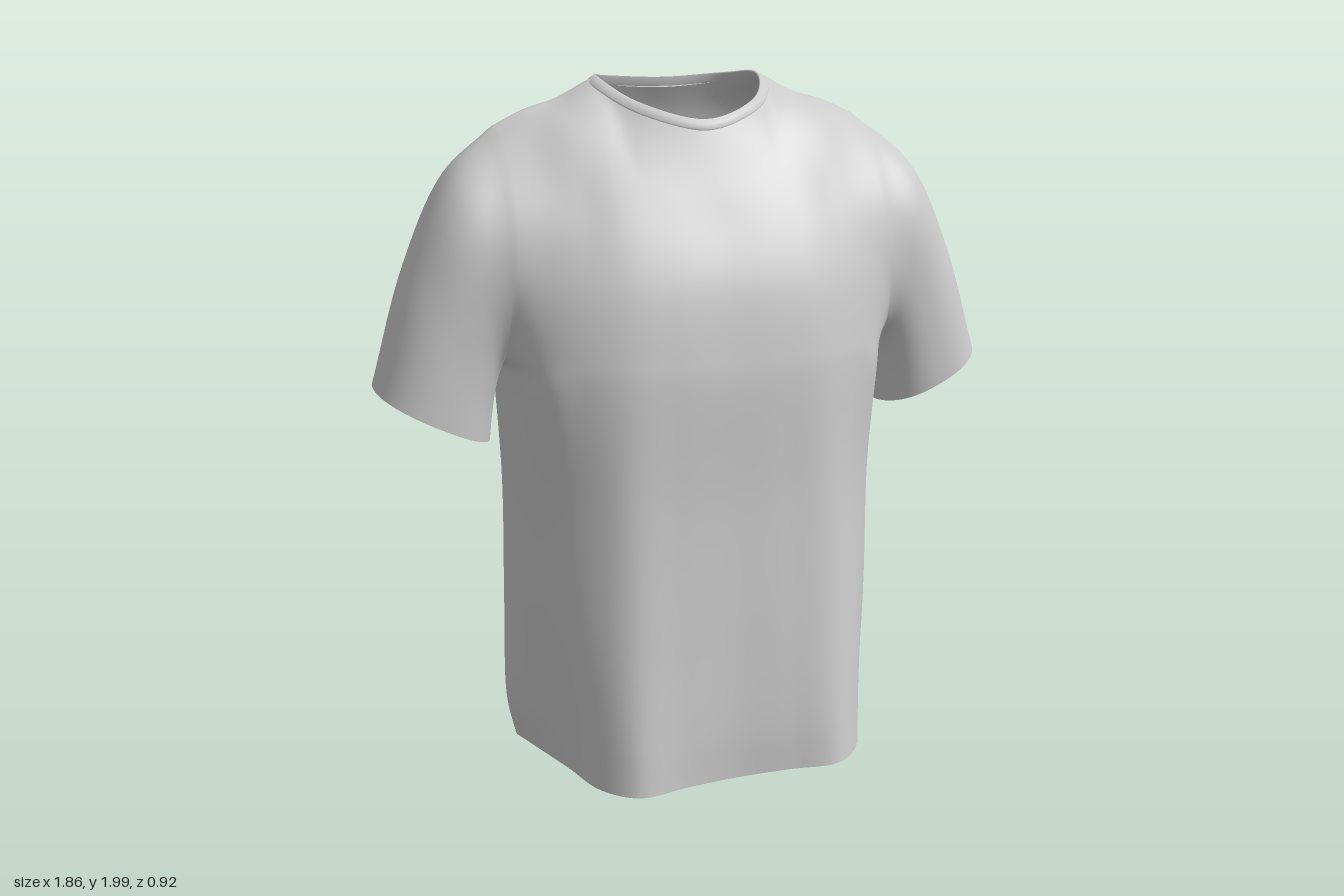
import * as THREE from 'three';
import { mergeVertices } from 'three/addons/utils/BufferGeometryUtils.js';

const V = (x, y, z) => new THREE.Vector3(x, y, z);
const STEP = 8, HALF = 5 * STEP, ARMPIT = 4 * STEP, NECK = 2 * STEP;

// Each row: heights, half widths and depths from the centre line out to the side seam.
const FRONT = [
  [[0, .005, .01, .01, .015, .015], [0, .16, .31, .405, .465, .565], [.42, .435, .455, .375, .23, -.02]],
  [.15, [0, .16, .31, .405, .48, .59], [.42, .43, .44, .36, .21, -.02]],
  [.45, [0, .16, .31, .41, .5, .585], [.4, .405, .4, .325, .185, -.03]],
  [.85, [0, .16, .3, .405, .5, .575], [.37, .37, .36, .29, .18, -.04]],
  [1.18, [0, .15, .29, .41, .505, .585], [.358, .357, .343, .287, .213, -.05]],
  [1.25, [0, .15, .29, .41, .5, .58], [.35, .35, .335, .283, .217, .1]],
  [1.46, [0, .15, .28, .4, .49, .56], [.308, .308, .293, .25, .205, .17]],
  [1.65, [0, .14, .27, .37, .46, .55], [.225, .225, .21, .178, .152, .13]],
  [[1.78, 1.8, 1.89, 1.88, 1.85, 1.815], [0, .18, .28, .37, .46, .55], [.165, .135, .04, .02, 0, -.005]],
  [[1.885, 1.93, 1.99, 1.932, 1.903, 1.862], [0, .17, .24, .36, .46, .55], [.12, .045, -.13, -.14, -.13, -.12]],
];
const BACK = [
  [[.015, .015, .015, .01, .015, .015], [0, .16, .31, .39, .455, .565], [-.45, -.45, -.455, -.365, -.23, -.02]],
  [.15, [0, .16, .31, .395, .475, .59], [-.445, -.445, -.45, -.365, -.23, -.02]],
  [.45, [0, .16, .31, .41, .5, .585], [-.435, -.44, -.445, -.36, -.23, -.03]],
  [.85, [0, .16, .3, .41, .505, .575], [-.415, -.42, -.43, -.365, -.24, -.04]],
  [1.18, [0, .15, .29, .41, .505, .585], [-.4, -.405, -.415, -.38, -.3, -.05]],
  [1.25, [0, .15, .29, .41, .5, .58], [-.397, -.402, -.412, -.383, -.325, -.2]],
  [1.46, [0, .15, .28, .4, .49, .56], [-.385, -.39, -.4, -.385, -.36, -.325]],
  [1.65, [0, .14, .27, .37, .46, .55], [-.36, -.365, -.37, -.36, -.35, -.325]],
  [[1.85, 1.86, 1.89, 1.87, 1.85, 1.82], [0, .19, .28, .37, .46, .55], [-.315, -.31, -.285, -.27, -.25, -.235]],
  [[1.97, 1.98, 1.99, 1.932, 1.903, 1.862], [0, .185, .24, .36, .46, .55], [-.255, -.24, -.13, -.14, -.13, -.12]],
];

const mirror = p => V(-p.x, p.y, p.z);
const halfRow = ([y, xs, zs]) => xs.map((x, k) => V(x, Array.isArray(y) ? y[k] : y, zs[k]));

// Smooth panel through the rows: points[j][i], i from -x to +x, j upward, ending in the neckline
function panel(rows, neckAt) {
  const curves = rows.map(row => {
    const half = halfRow(row);
    return new THREE.CatmullRomCurve3([...half.slice(1).reverse().map(mirror), ...half]);
  });
  const last = rows.length - 1, count = last * STEP;
  const points = Array.from({ length: count + 1 }, () => []);
  for (let i = 0; i <= 2 * HALF; i++) {
    const controls = curves.map(c => c.getPoint(i / (2 * HALF)));
    if (Math.abs(i - HALF) <= NECK) controls[last] = neckAt((i - HALF) / STEP);
    const column = new THREE.CatmullRomCurve3(controls);
    for (let j = 0; j <= count; j++) points[j].push(column.getPoint(j / count));
  }
  return points;
}

// Adds quads over a grid of points to a shared surface
function addGrid(surface, rows, flip = false, closed = false) {
  const base = surface.positions.length / 3, n = rows[0].length;
  rows.flat().forEach(p => surface.positions.push(p.x, p.y, p.z));
  for (let j = 0; j < rows.length - 1; j++) {
    for (let i = 0; i < (closed ? n : n - 1); i++) {
      const k = (i + 1) % n;
      const a = base + j * n + i, b = base + j * n + k, c = b + n, d = a + n;
      surface.indices.push(...(flip ? [a, c, b, a, d, c] : [a, b, c, a, c, d]));
    }
  }
}

function toMesh(surface, name) {
  let geometry = new THREE.BufferGeometry();
  geometry.setAttribute('position', new THREE.Float32BufferAttribute(surface.positions, 3));
  geometry.setIndex(surface.indices);
  geometry = mergeVertices(geometry, 1e-4);
  geometry.computeVertexNormals();
  const material = new THREE.MeshStandardMaterial({ color: 0xcccccc, side: THREE.DoubleSide });
  const mesh = new THREE.Mesh(geometry, material);
  mesh.name = name;
  return mesh;
}

// Slightly squared oval sleeve section given its underarm point, top point and z range
function sleeveRing(side, count, [bx, by], [tx, ty], zMid, zHalf) {
  const squared = v => Math.sign(v) * Math.pow(Math.abs(v), .87);
  return Array.from({ length: count }, (_, k) => {
    const a = 2 * Math.PI * k / count, f = (1 - squared(Math.cos(a))) / 2;
    return V(side * (bx + (tx - bx) * f), by + (ty - by) * f, zMid + zHalf * squared(Math.sin(a)));
  });
}

export function createModel() {
  const group = new THREE.Group();

  // Closed neckline, running from the front centre round the left side
  const [f0, f1, f2] = halfRow(FRONT.at(-1)), [b0, b1] = halfRow(BACK.at(-1));
  const neckline = new THREE.CatmullRomCurve3([f0, f1, f2, b1, b0, mirror(b1), mirror(f2), mirror(f1)], true);
  const neckPoint = u => neckline.getPoint((u + 8) % 8 / 8);

  const front = panel(FRONT, neckPoint), back = panel(BACK, u => neckPoint(4 - u));
  const top = front.length - 1;

  // Sew the side seams and shoulder seams
  const sew = (j, i) => {
    const p = front[j][i].clone().lerp(back[j][i], .5);
    front[j][i].copy(p);
    back[j][i].copy(p);
  };
  for (let j = 0; j <= ARMPIT; j++) [0, 2 * HALF].forEach(i => sew(j, i));
  for (let i = 0; i <= 2 * HALF; i++) if (Math.abs(i - HALF) >= NECK) sew(top, i);

  const shirt = { positions: [], indices: [] };
  addGrid(shirt, front);
  addGrid(shirt, back, true);

  // Sleeves grow from the armhole edges of the two panels
  for (const side of [-1, 1]) {
    const edge = side > 0 ? 2 * HALF : 0, hole = [];
    for (let j = ARMPIT; j <= top; j++) hole.push(front[j][edge]);
    for (let j = top - 1; j > ARMPIT; j--) hole.push(back[j][edge]);
    const n = hole.length;
    const rings = [
      hole,
      sleeveRing(side, n, [.59, 1.125], [.69, 1.74], -.087, .235),
      sleeveRing(side, n, [.6, 1.06], [.82, 1.49], -.07, .21),
      sleeveRing(side, n, [.61, .985], [.93, 1.15], -.055, .195),
    ];
    const lines = hole.map((_, k) => new THREE.CatmullRomCurve3(rings.map(r => r[k])));
    const steps = 24;
    const rows = Array.from({ length: steps + 1 }, (_, s) => lines.map(l => l.getPoint(s / steps)));
    addGrid(shirt, rows, side > 0, true);
  }
  group.add(toMesh(shirt, 'torsoAndSleeves'));

  // Collar band follows the neckline and lies just over the fabric
  const neck = Array.from({ length: 8 * STEP }, (_, i) => neckPoint((i / STEP + 6) % 8));
  const band = [[.032, -.001], [.028, .003], [.015, .004], [0, .003], [0, -.003], [.025, -.005]];
  const rows = band.map(([down, lift]) => neck.map(p => {
    const r = V(p.x, 0, p.z + .09).normalize();
    const slope = .6 + 1.6 * r.z * r.z;
    const along = V(r.x, -slope, r.z).normalize();
    const out = V(r.x * slope, 1, r.z * slope).normalize();
    return p.clone().addScaledVector(along, down).addScaledVector(out, lift);
  }));
  const collar = { positions: [], indices: [] };
  addGrid(collar, rows, false, true);
  group.add(toMesh(collar, 'collar'));
  return group;
}
